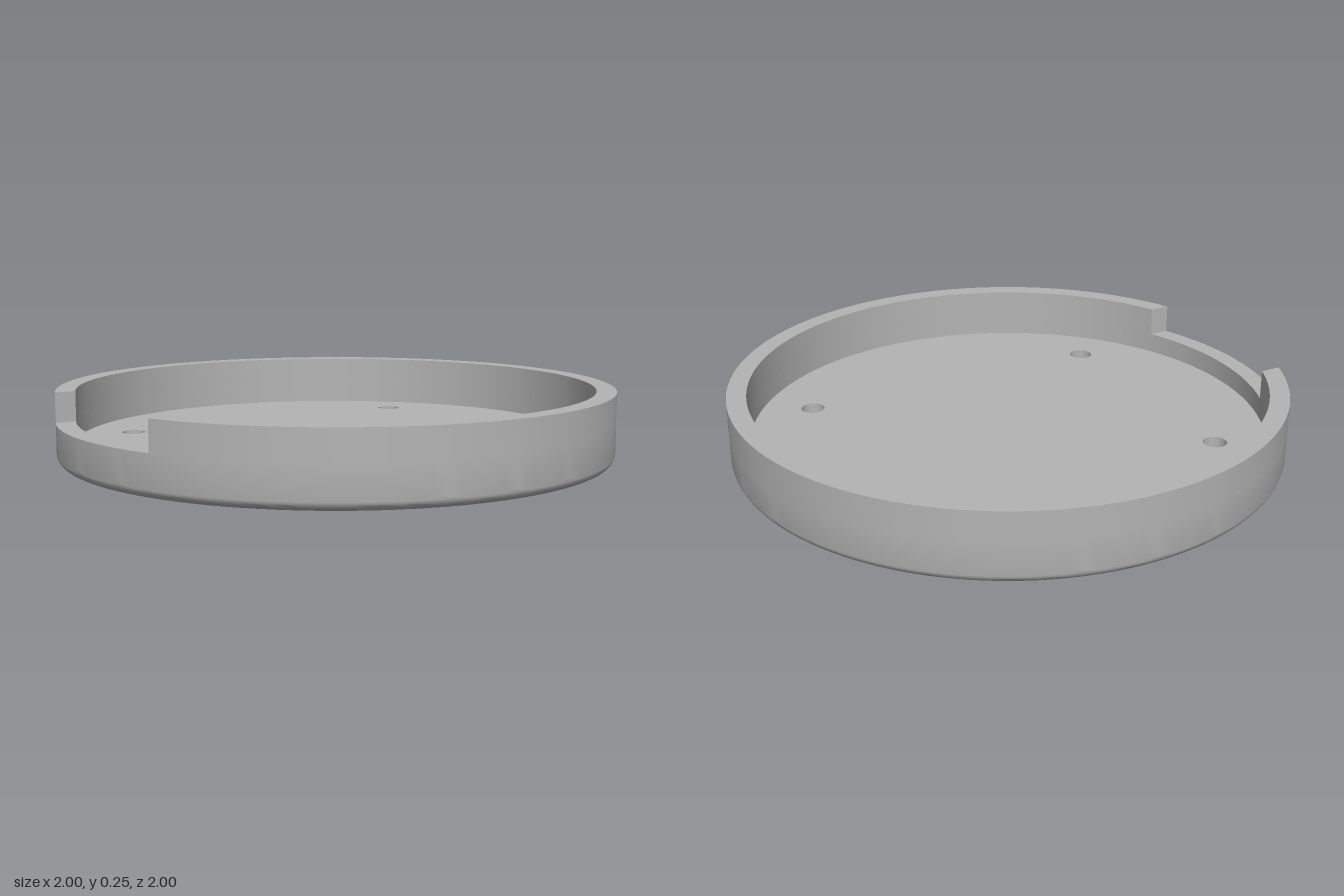
import * as THREE from 'three';
import { toCreasedNormals } from 'three/addons/utils/BufferGeometryUtils.js';

const OUTER = 1, INNER = 0.93, HEIGHT = 0.255;
const FLOOR = 0.072, LEDGE = 0.148, FILLET = 0.04;
const HOLES = [[-0.583, -0.475], [0.583, -0.475], [-0.583, 0.468], [0.583, 0.468]];
const NOTCH_BACK = 0.372, NOTCH_FRONT = 0.364;

export function createModel() {
  const group = new THREE.Group();
  group.name = 'roundTray';
  const grey = new THREE.MeshStandardMaterial({ color: 0xb4b4b4 });
  grey.name = 'grey';

  const add = (name, geometry) => {
    const mesh = new THREE.Mesh(toCreasedNormals(geometry, 0.5), grey);
    mesh.name = name;
    group.add(mesh);
  };
  // Extrudes a plan shape upward from y = bottom to y = top
  const extrudeUp = (shape, bottom, top) =>
    new THREE.ExtrudeGeometry(shape, { depth: top - bottom, bevelEnabled: false, curveSegments: 64 })
      .rotateX(-Math.PI / 2)
      .translate(0, bottom, 0);

  // Floor plate with four screw holes
  const plate = new THREE.Shape().absarc(0, 0, INNER, 0, Math.PI * 2, false);
  for (const [x, z] of HOLES) {
    plate.holes.push(new THREE.Path().absarc(x, -z, 0.043, 0, Math.PI * 2, true));
  }
  add('floor', extrudeUp(plate, 0, FLOOR));

  // Lower wall ring with rounded bottom edge, up to the notch ledge
  const profile = [new THREE.Vector2(INNER, 0)];
  for (let i = 0; i <= 8; i++) {
    const a = (i / 8) * Math.PI / 2;
    profile.push(new THREE.Vector2(OUTER - FILLET + FILLET * Math.sin(a), FILLET - FILLET * Math.cos(a)));
  }
  profile.push(
    new THREE.Vector2(OUTER, LEDGE),
    new THREE.Vector2(INNER, LEDGE),
    new THREE.Vector2(INNER, FLOOR),
  );
  add('lowerWall', new THREE.LatheGeometry(profile, 128));

  // Upper wall, open at the notch on the right side with straight cut ends
  const start = (r) => -Math.PI + Math.asin(NOTCH_FRONT / r);
  const end = (r) => Math.PI - Math.asin(NOTCH_BACK / r);
  const wall = new THREE.Shape();
  wall.absarc(0, 0, OUTER, start(OUTER), end(OUTER), false);
  wall.absarc(0, 0, INNER, end(INNER), start(INNER), true);
  wall.closePath();
  add('upperWall', extrudeUp(wall, LEDGE, HEIGHT));

  return group;
}
